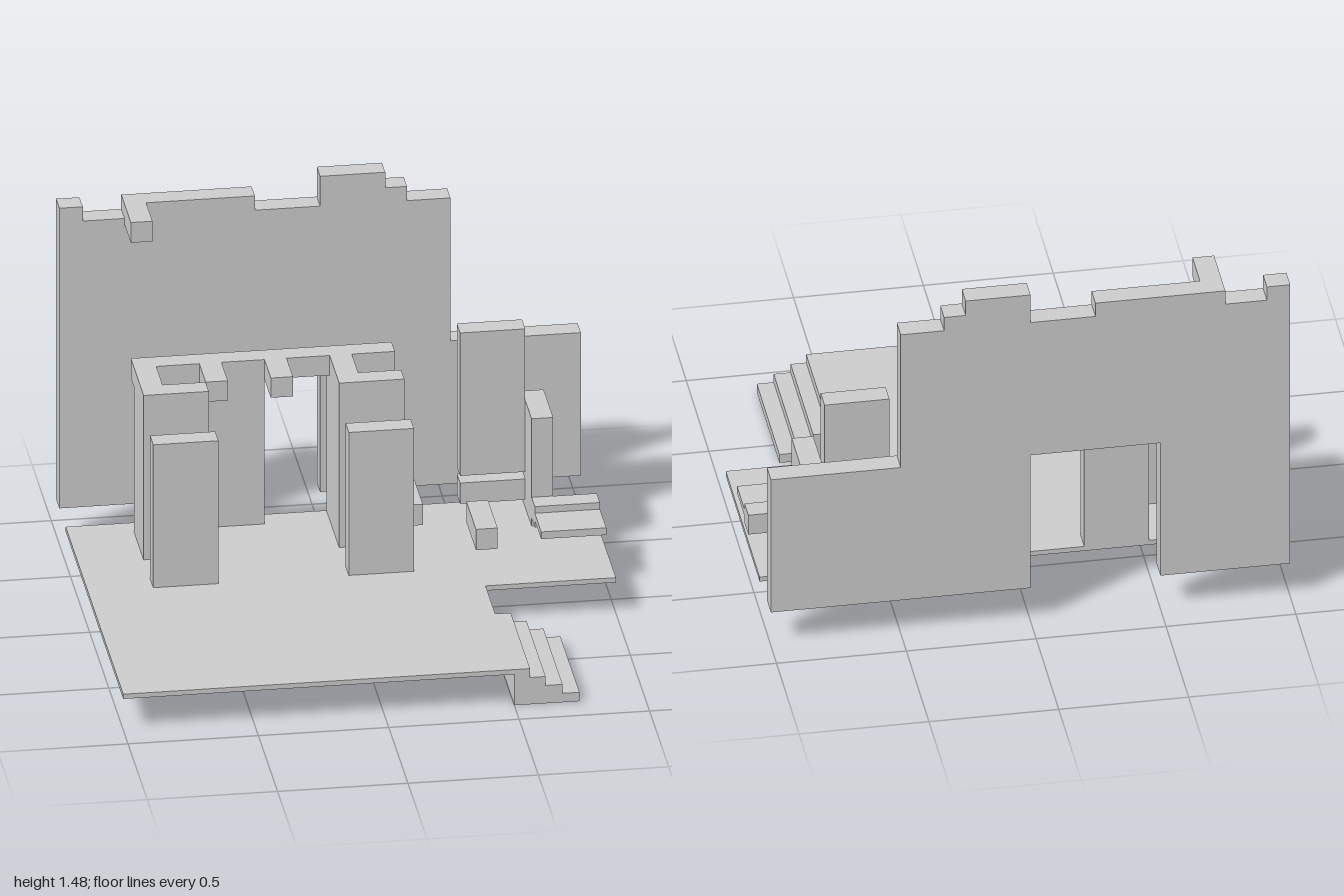
import * as THREE from 'three';

const material = new THREE.MeshStandardMaterial({ color: 0xcccccc, flatShading: true });

export function createModel() {
  const model = new THREE.Group();

  const add = (name, geometry) => {
    const mesh = new THREE.Mesh(geometry, material);
    mesh.name = name;
    model.add(mesh);
    return mesh;
  };

  // Box given by its limits on each axis
  const box = (name, [x0, x1], [y0, y1], [z0, z1]) => {
    const mesh = add(name, new THREE.BoxGeometry(x1 - x0, y1 - y0, z1 - z0));
    mesh.position.set((x0 + x1) / 2, (y0 + y1) / 2, (z0 + z1) / 2);
  };

  // Outline in x and y, extruded between two depths
  const extrude = (name, points, [z0, z1]) => {
    const shape = new THREE.Shape(points.map(([x, y]) => new THREE.Vector2(x, y)));
    const geometry = new THREE.ExtrudeGeometry(shape, { depth: z1 - z0, bevelEnabled: false });
    return add(name, geometry.translate(0, 0, z0));
  };

  // Floor slab with a notched corner, drawn in x and -z and laid flat
  const floor = extrude('floor', [
    [-1, -0.875], [0.5, -0.875], [0.5, -0.125], [1, -0.125], [1, 0.625], [-1, 0.625],
  ], [0.13, 0.15]);
  floor.geometry.rotateX(-Math.PI / 2);

  // Ruined back wall with broken top and doorway
  extrude('backWall', [
    [-1, 0.15], [-0.5, 0.15], [-0.5, 0.75], [0, 0.75], [0, 0.15], [1, 0.15],
    [1, 0.75], [0.5, 0.75], [0.5, 1.35], [0.333, 1.35], [0.333, 1.41], [0.25, 1.41],
    [0.25, 1.475], [0, 1.475], [0, 1.35], [-0.25, 1.35], [-0.25, 1.41],
    [-0.75, 1.41], [-0.75, 1.35], [-0.91, 1.35], [-0.91, 1.41], [-1, 1.41],
  ], [-0.875, -0.79]);
  box('wallBeam', [-0.75, -0.667], [1.325, 1.41], [-0.79, -0.625]);

  // Side stairs descending towards +x
  extrude('stairs', [
    [0.5, 0], [0.75, 0], [0.75, 0.0375], [0.685, 0.0375], [0.685, 0.075],
    [0.62, 0.075], [0.62, 0.1125], [0.56, 0.1125], [0.56, 0.15], [0.5, 0.15],
  ], [0.375, 0.875]);

  // Two rows of paired pillars
  for (const x of [-0.75, 0]) {
    box('frontPillar', [x, x + 0.25], [0.15, 0.75], [-0.125, -0.042]);
    box('rearPillar', [x, x + 0.25], [0.15, 0.84], [-0.375, -0.292]);
  }

  // Inner wall: panels, lintel, side walls and projecting beam ends
  const innerDepth = [-0.625, -0.54];
  const sideDepth = [-0.54, -0.375];
  for (const x of [-0.5, 0]) box('innerPanel', [x, x + 0.25], [0.15, 0.757], innerDepth);
  box('lintel', [-0.75, 0.25], [0.757, 0.84], innerDepth);
  for (const x of [-0.5, -0.25]) box('beamEnd', [x, x + 0.085], [0.757, 0.84], sideDepth);
  for (const x of [-0.75, 0]) box('sideWall', [x, x + 0.085], [0.15, 0.84], sideDepth);

  // Separate panel and buttress at the left side
  box('leftPanel', [0.5, 0.75], [0.3, 0.9], innerDepth);
  box('buttress', [0.75, 0.833], [0, 0.6], [-0.625, -0.375]);

  // Low blocks and the stepped bench
  const low = [0.183, 0.27];
  box('lowBlock', [0.25, 0.333], low, [-0.625, -0.375]);
  box('lowBlock', [0.5, 0.583], low, [-0.375, -0.125]);
  box('lowBlock', [0.5, 0.75], low, innerDepth);
  box('benchBack', [0.75, 1], low, [-0.375, -0.292]);
  box('benchSeat', [0.75, 1], [0.212, 0.242], [-0.292, -0.125]);

  return model;
}
